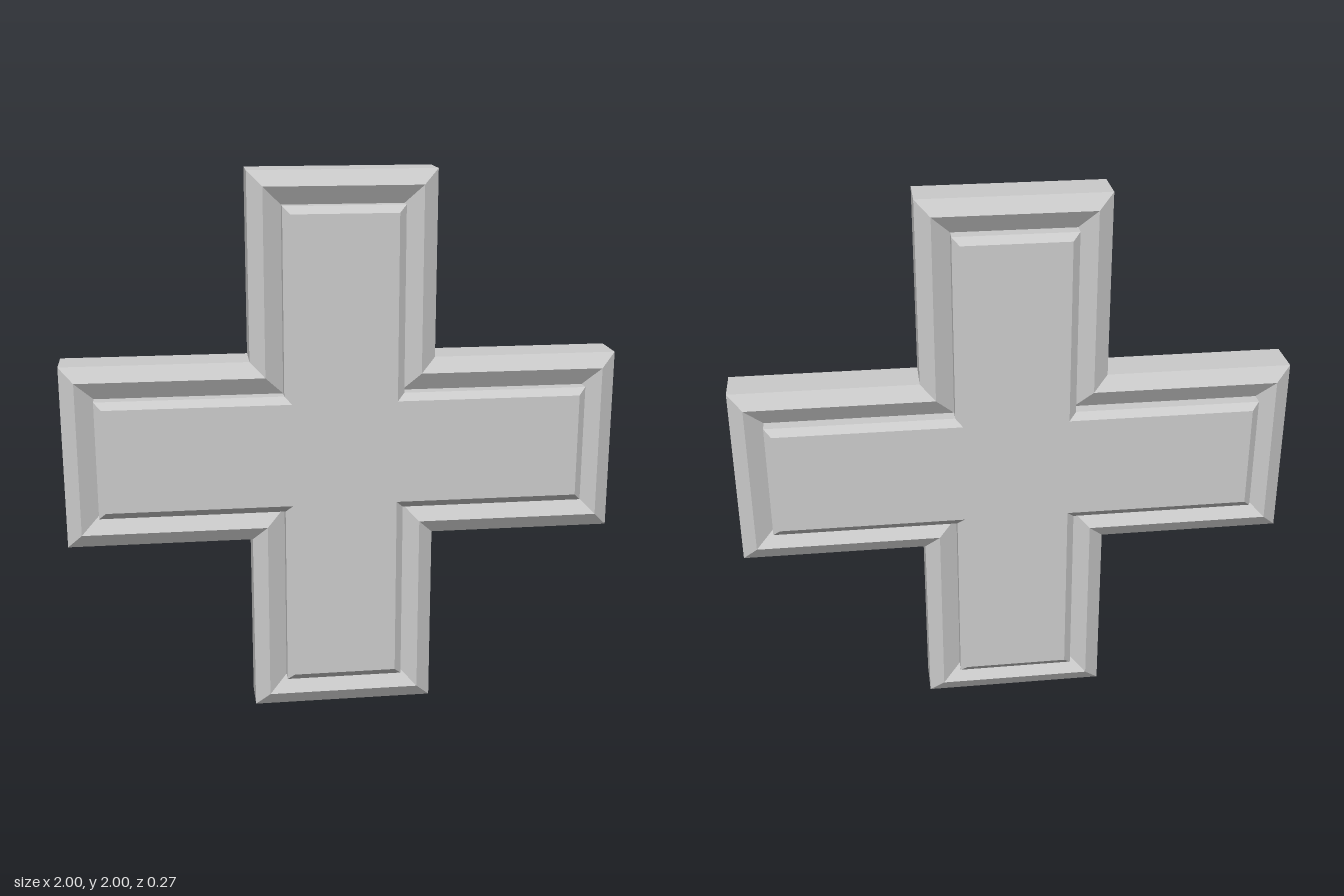
import * as THREE from 'three';

const ARM = 0.333;  // half width of each arm
const REACH = 1;    // distance from centre to arm end

// Twelve corners of the cross, counter-clockwise, moved inwards by inset
function crossOutline(inset) {
  const a = ARM - inset, r = REACH - inset;
  const corners = [];
  for (let k = 0; k < 4; k++) {
    const c = Math.round(Math.cos(k * Math.PI / 2)), s = Math.round(Math.sin(k * Math.PI / 2));
    for (const [x, y] of [[r, -a], [r, a], [a, a]]) {
      corners.push(new THREE.Vector2(x * c - y * s, x * s + y * c));
    }
  }
  return corners;
}

// Flat-shaded mitred bands joining successive [inset, z] outlines, listed back to front
function bands(name, profile, material) {
  const pos = [];
  for (let i = 0; i < profile.length - 1; i++) {
    const [insetA, zA] = profile[i], [insetB, zB] = profile[i + 1];
    const A = crossOutline(insetA), B = crossOutline(insetB);
    for (let j = 0; j < A.length; j++) {
      const n = (j + 1) % A.length;
      const a = [A[j].x, A[j].y, zA], b = [A[n].x, A[n].y, zA];
      const c = [B[n].x, B[n].y, zB], d = [B[j].x, B[j].y, zB];
      pos.push(...a, ...b, ...c, ...a, ...c, ...d);
    }
  }
  const geo = new THREE.BufferGeometry();
  geo.setAttribute('position', new THREE.Float32BufferAttribute(pos, 3));
  geo.computeVertexNormals();
  const mesh = new THREE.Mesh(geo, material);
  mesh.name = name;
  return mesh;
}

export function createModel() {
  const material = new THREE.MeshStandardMaterial({ color: 0xcccccc, flatShading: true });
  const model = new THREE.Group();
  model.name = 'cross';

  // Bevelled frame: outer edge, ridge, and slope down into the groove on both faces
  model.add(bands('frame', [
    [0.118, -0.07], [0.053, -0.105], [0, -0.072],
    [0, 0.072], [0.053, 0.105], [0.118, 0.07],
  ], material));

  // Raised chamfered panel on the front and the back
  for (const side of ['front', 'back']) {
    const panel = new THREE.Group();
    panel.name = side + 'Panel';
    panel.add(bands(side + 'PanelEdge', [[0.118, 0.07], [0.118, 0.117], [0.144, 0.137]], material));
    const face = new THREE.Mesh(new THREE.ShapeGeometry(new THREE.Shape(crossOutline(0.144))), material);
    face.position.z = 0.137;
    face.name = side + 'PanelFace';
    panel.add(face);
    if (side === 'back') panel.rotation.y = Math.PI;
    model.add(panel);
  }

  // Stand the cross on the ground
  for (const part of model.children) part.position.y = REACH;
  return model;
}
